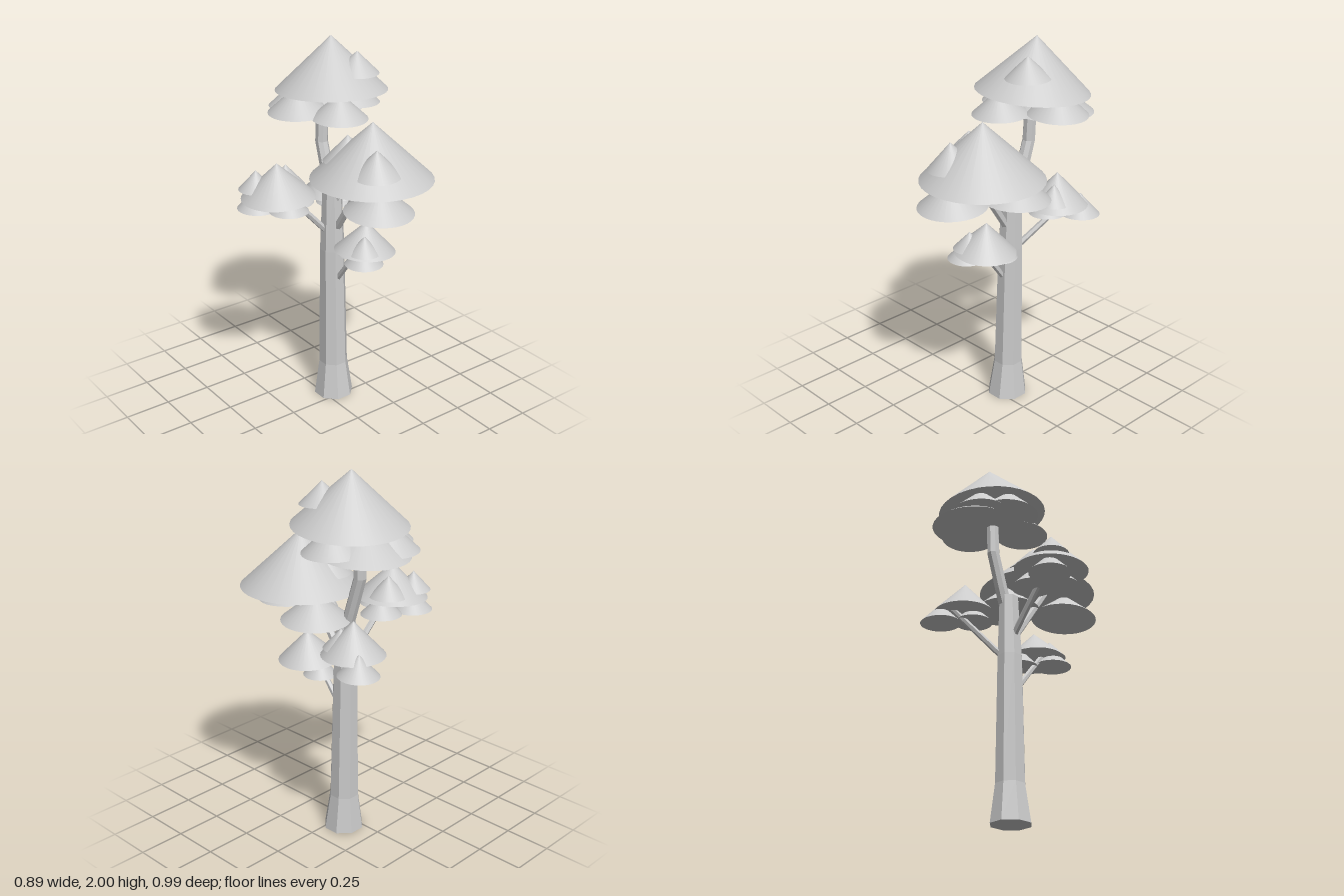
import * as THREE from 'three';

const material = new THREE.MeshStandardMaterial({ color: 0xcccccc });
const flatMaterial = new THREE.MeshStandardMaterial({ color: 0xcccccc, flatShading: true });

// Faceted limb lofted through horizontal rings [x, y, z, radius], closed at both ends
function limb(name, rings, sides) {
  const pos = [], index = [];
  for (const [x, y, z, r] of rings) {
    for (let i = 0; i < sides; i++) {
      const a = ((i + 0.5) / sides) * Math.PI * 2;
      pos.push(x + r * Math.sin(a), y, z + r * Math.cos(a));
    }
  }
  for (let k = 0; k < rings.length - 1; k++) {
    for (let i = 0; i < sides; i++) {
      const j = (i + 1) % sides, a = k * sides, b = a + sides;
      index.push(a + i, a + j, b + j, a + i, b + j, b + i);
    }
  }
  const top = (rings.length - 1) * sides;
  for (let i = 1; i < sides - 1; i++) {
    index.push(0, i + 1, i, top, top + i, top + i + 1);
  }
  const geo = new THREE.BufferGeometry();
  geo.setAttribute('position', new THREE.Float32BufferAttribute(pos, 3));
  geo.setIndex(index);
  geo.computeVertexNormals();
  const mesh = new THREE.Mesh(geo, flatMaterial);
  mesh.name = name;
  return mesh;
}

// Straight thin branch between two points
function branch(name, from, to, r) {
  const a = new THREE.Vector3(...from), b = new THREE.Vector3(...to);
  const dir = b.clone().sub(a);
  const mesh = new THREE.Mesh(new THREE.CylinderGeometry(r * 0.85, r, dir.length(), 6), flatMaterial);
  mesh.position.copy(a).add(b).multiplyScalar(0.5);
  mesh.quaternion.setFromUnitVectors(new THREE.Vector3(0, 1, 0), dir.normalize());
  mesh.name = name;
  return mesh;
}

// Clump of foliage cones: [x, baseY, z, radius, height, tiltX, tiltZ]
function clump(name, cones) {
  const group = new THREE.Group();
  group.name = name;
  cones.forEach(([x, y, z, r, h, tiltX = 0, tiltZ = 0], i) => {
    const geo = new THREE.ConeGeometry(r, h, 32);
    geo.translate(0, h / 2, 0);
    const cone = new THREE.Mesh(geo, material);
    cone.position.set(x, y, z);
    cone.rotation.set(tiltX, 0, tiltZ);
    cone.name = i === 0 ? 'mainFoliageCone' : 'smallFoliageCone';
    group.add(cone);
  });
  return group;
}

export function createModel() {
  const tree = new THREE.Group();
  tree.name = 'tree';

  // Trunk with flared foot, and the bent leader carrying the crown
  tree.add(limb('trunk', [
    [0.065, 0, -0.058, 0.108],
    [0.066, 0.2, -0.063, 0.079],
    [0.066, 0.88, -0.073, 0.067],
    [0.07, 1.22, -0.08, 0.052],
  ], 8));
  tree.add(limb('leader', [
    [0.08, 1.14, -0.085, 0.036],
    [0.08, 1.26, -0.125, 0.035],
    [0.08, 1.45, -0.185, 0.034],
    [0.09, 1.75, -0.19, 0.032],
  ], 8));

  // Branches
  tree.add(branch('frontBranch', [0.07, 1.02, -0.03], [0.07, 1.33, 0.18], 0.022));
  tree.add(branch('upperBranch', [0.06, 1.12, -0.07], [0.11, 1.4, 0.05], 0.022));
  tree.add(branch('lowFrontBranch', [0.065, 0.71, -0.03], [0.065, 0.97, 0.17], 0.016));
  tree.add(branch('rightBranch', [0.03, 0.99, -0.08], [-0.24, 1.28, -0.1], 0.018));
  tree.add(branch('backBranch', [0.08, 0.87, -0.1], [0.22, 1.12, -0.34], 0.017));

  // Crown
  tree.add(clump('crownFoliage', [
    [0.125, 1.725, -0.16, 0.29, 0.275, -0.06, -0.03],
    [0.2, 1.825, -0.05, 0.115, 0.11, 0.03, 0],
    [-0.05, 1.63, -0.2, 0.16, 0.14, 0, 0.04],
    [0.03, 1.62, -0.32, 0.155, 0.14, -0.04, 0],
    [0.14, 1.605, -0.27, 0.225, 0.16, -0.05, 0],
    [0.27, 1.63, -0.19, 0.155, 0.14, 0, -0.05],
    [0.06, 1.625, -0.005, 0.145, 0.13, 0.04, 0],
  ]));

  // Large front clump
  tree.add(clump('frontFoliage', [
    [0.125, 1.345, 0.18, 0.315, 0.295],
    [0.05, 1.42, 0.31, 0.125, 0.13, 0.05, 0.05],
    [0.06, 1.425, 0.07, 0.13, 0.13, -0.05, 0],
    [0.06, 1.225, 0.32, 0.178, 0.15, 0.06, 0],
    [0.19, 1.215, 0.015, 0.178, 0.15, -0.03, -0.03],
  ]));

  // Clump on the right-hand side
  tree.add(clump('rightFoliage', [
    [-0.26, 1.25, -0.09, 0.19, 0.18, 0, 0.04],
    [-0.34, 1.285, -0.17, 0.09, 0.1],
    [-0.18, 1.28, -0.14, 0.1, 0.11],
    [-0.33, 1.18, -0.17, 0.108, 0.11],
    [-0.15, 1.185, -0.12, 0.108, 0.11],
    [-0.25, 1.195, -0.01, 0.1, 0.1],
  ]));

  // Back clump
  tree.add(clump('backFoliage', [
    [0.21, 1.11, -0.265, 0.162, 0.175],
    [0.24, 1.14, -0.21, 0.09, 0.1],
    [0.28, 1.05, -0.365, 0.106, 0.11, -0.04, 0],
    [0.19, 1.07, -0.22, 0.1, 0.1],
  ]));

  // Low front clump
  tree.add(clump('lowFrontFoliage', [
    [0.11, 0.94, 0.15, 0.16, 0.16, 0, -0.06],
    [0.06, 0.96, 0.21, 0.085, 0.09],
    [0.05, 0.905, 0.22, 0.1, 0.1],
    [0.12, 0.88, 0.055, 0.09, 0.1],
  ]));

  return tree;
}
